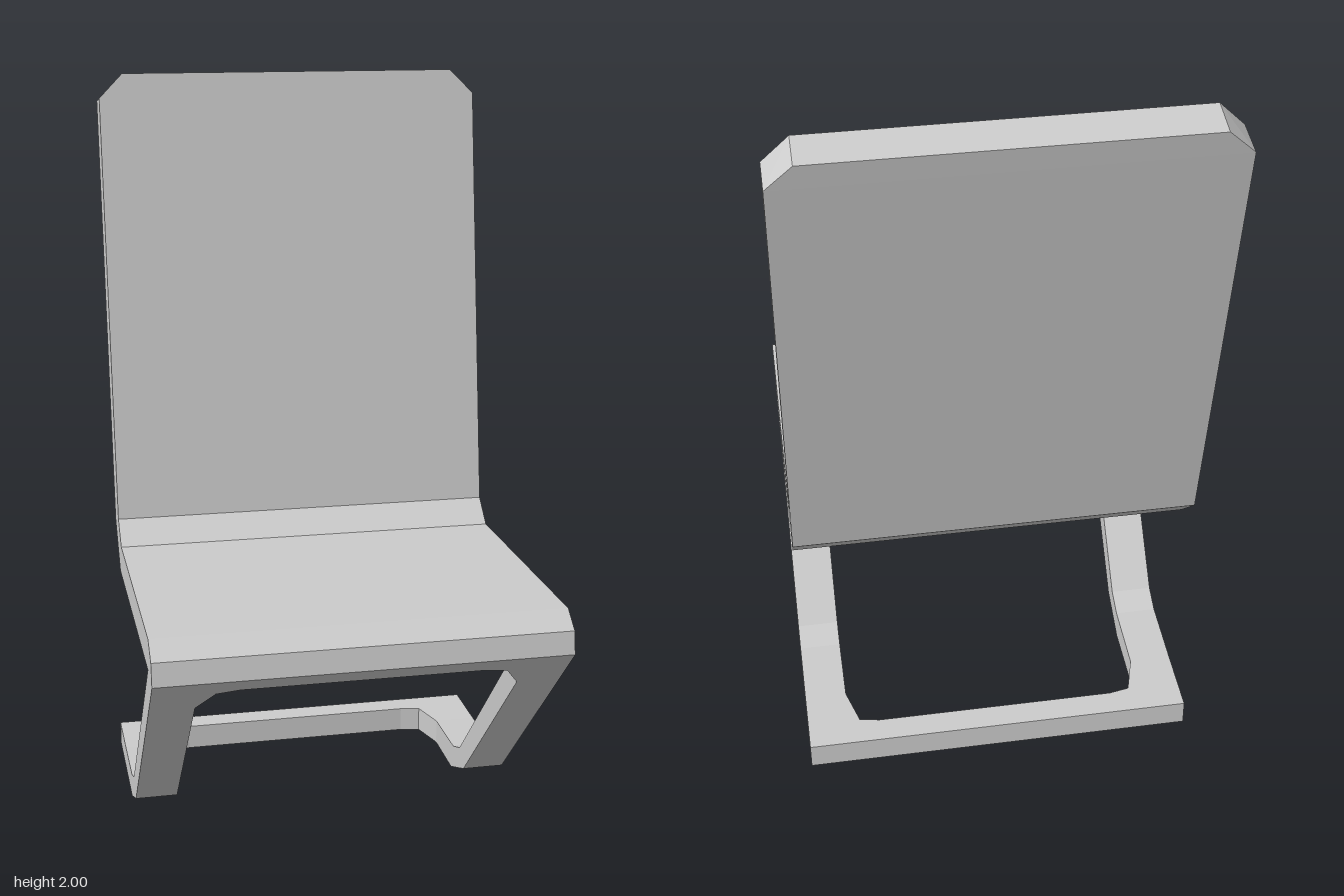
import * as THREE from 'three';

const W = 0.53; // half width of the chair
const material = new THREE.MeshStandardMaterial({ color: 0xcccccc, flatShading: true });

// A station is one cross-section of the bent sheet: inner edge (z, y),
// outer edge (z, y), half width of the opening and half width of the sheet.
const station = (a, b, open = 0, half = W) => ({ a, b, open, half });

// Joins successive stations of the +x half and mirrors every face to -x.
function sheet(stations, { capStart = false, capEnd = false } = {}) {
  const positions = [];
  const triangle = (...corners) => {
    if (new THREE.Triangle(...corners).getArea() < 1e-7) return;
    for (const p of corners) positions.push(p.x, p.y, p.z);
    for (const p of [...corners].reverse()) positions.push(-p.x, p.y, p.z);
  };
  const quad = (p, q, r, s) => { triangle(p, q, r); triangle(p, r, s); };
  const rings = stations.map(({ a, b, open, half }) => [
    new THREE.Vector3(half, a[1], a[0]),
    new THREE.Vector3(half, b[1], b[0]),
    new THREE.Vector3(open, b[1], b[0]),
    new THREE.Vector3(open, a[1], a[0]),
  ]);
  for (let i = 0; i < rings.length - 1; i++) {
    const r = rings[i], n = rings[i + 1];
    for (let k = 0; k < 4; k++) {
      const m = (k + 1) % 4;
      // the centre plane is not a surface where there is no opening
      if (k === 2 && r[2].x === 0 && n[2].x === 0) continue;
      quad(r[k], n[k], n[m], r[m]);
    }
  }
  if (capStart) quad(...rings[0]);
  if (capEnd) quad(...[...rings[rings.length - 1]].reverse());
  const geometry = new THREE.BufferGeometry();
  geometry.setAttribute('position', new THREE.Float32BufferAttribute(positions, 3));
  geometry.computeVertexNormals();
  return geometry;
}

export function createModel() {
  const group = new THREE.Group();
  const add = (name, stations, caps) => {
    const mesh = new THREE.Mesh(sheet(stations, caps), material);
    mesh.name = name;
    group.add(mesh);
  };

  // Floor frame: rear bar, chamfered opening corners, side rails and lower bend
  const floor = (z, open) => station([z, 0.07], [z, 0], open);
  const bend = station([-0.045, 0.10], [0, 0.055], 0.415);
  add('floorFrame', [
    station([-0.48, 0.07], [-0.485, 0]),
    floor(-0.41, 0),
    floor(-0.41, 0.33),
    floor(-0.40, 0.385),
    floor(-0.30, 0.415),
    station([-0.11, 0.075], [-0.13, 0], 0.415),
    bend,
  ], { capStart: true });

  // Sloping legs, joined by a narrow bar below the seat's front edge
  const apex = [0.48, 0.64], nose = [0.57, 0.63];
  const mix = (p, q, t) => p.map((v, i) => v + (q[i] - v) * t);
  const slope = (t, open) => station(mix(bend.a, apex, t), mix(bend.b, nose, t), open);
  add('slopingLegs', [
    bend,
    slope(0.81, 0.415),
    slope(0.913, 0.37),
    slope(0.93, 0.31),
    slope(0.93, 0),
    slope(1, 0),
  ]);

  // Seat, folded around its front edge
  const seatRear = station([-0.28, 0.63], [-0.22, 0.72]);
  add('seat', [
    station(apex, nose),
    station(apex, [0.56, 0.69]),
    station(apex, [0.505, 0.73]),
    seatRear,
  ]);

  // Backrest with chamfered top corners
  add('backrest', [
    seatRear,
    station([-0.39, 0.745], [-0.29, 0.78]),
    station([-0.56, 1.92], [-0.465, 1.935]),
    station([-0.568, 1.98], [-0.475, 2.0], 0, 0.465),
  ], { capEnd: true });

  return group;
}
